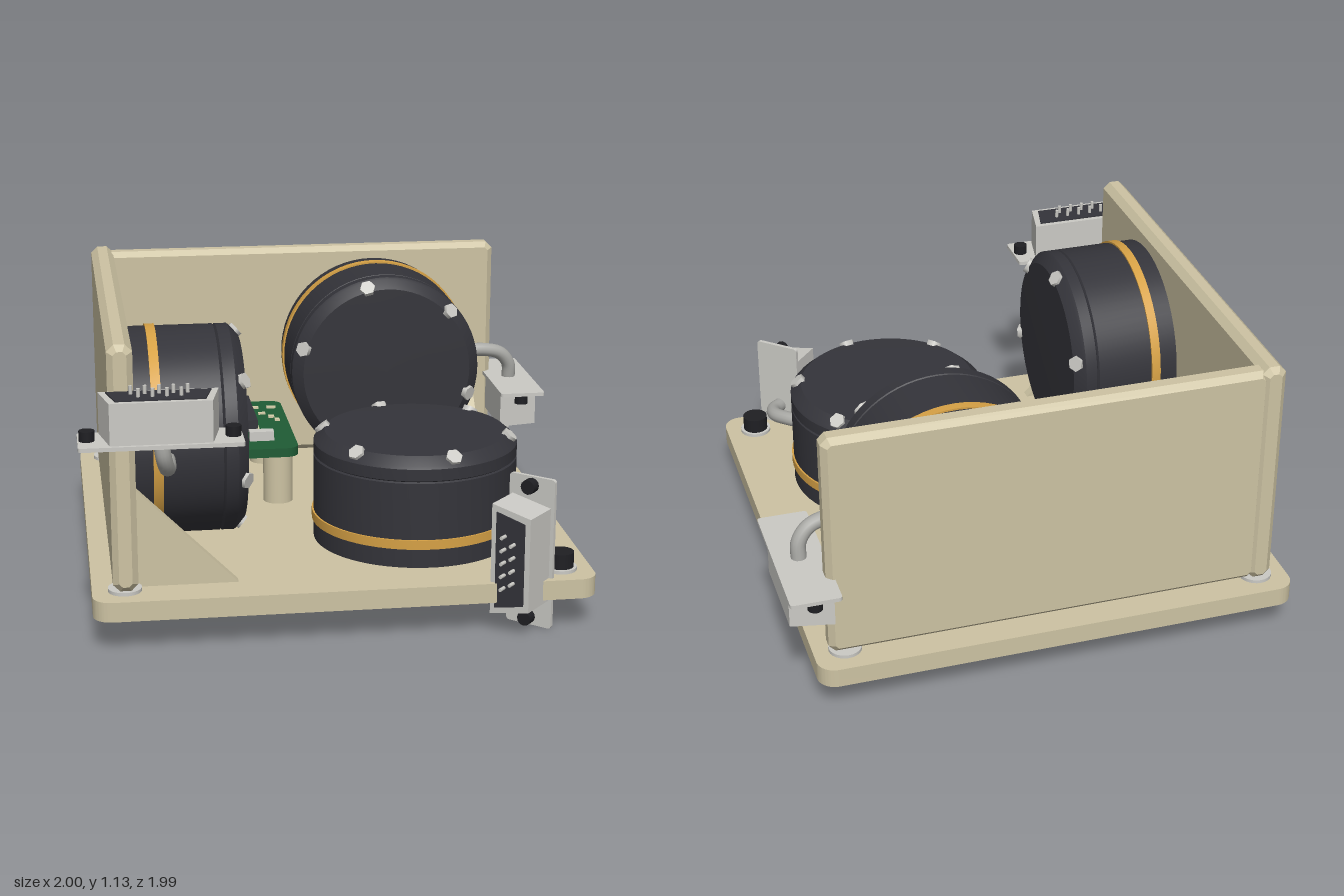
import * as THREE from 'three';
import { toCreasedNormals } from 'three/addons/utils/BufferGeometryUtils.js';

const mat = (name, color) => Object.assign(new THREE.MeshStandardMaterial({ color }), { name });
const tan = mat('tan frame', 0xcdc3a3);
const dark = mat('charcoal housing', 0x34343a);
const gold = mat('gold band', 0xd6a145);
const green = mat('green board', 0x1f5c35);
const silver = mat('silver metal', 0xcbcac5);
const cableGrey = mat('grey cable', 0xa9a9a5);
const black = mat('black screws', 0x1f1f23);
const cream = mat('cream pads', 0xd6cfaa);

function add(parent, name, geo, material, x = 0, y = 0, z = 0) {
  const m = new THREE.Mesh(geo, material);
  m.name = name;
  m.position.set(x, y, z);
  parent.add(m);
  return m;
}
const box = (w, h, d) => new THREE.BoxGeometry(w, h, d);
const cyl = (r, h, n = 24) => new THREE.CylinderGeometry(r, r, h, n);
const lathe = (pts) => toCreasedNormals(
  new THREE.LatheGeometry(pts.map(([r, y]) => new THREE.Vector2(r, y)), 64), 0.25);

function roundedRect(w, h, r) {
  const s = new THREE.Shape();
  [[1, -1, -90], [1, 1, 0], [-1, 1, 90], [-1, -1, 180]].forEach(([sx, sy, a]) =>
    s.absarc(sx * (w / 2 - r), sy * (h / 2 - r), r, a * Math.PI / 180, (a + 90) * Math.PI / 180));
  s.closePath();
  return s;
}

// Box with all edges chamfered by c, centred on its origin
function chamferBox(w, h, d, c) {
  const s = new THREE.Shape();
  const x = w / 2 - c, y = h / 2 - c, k = c * 0.6;
  s.moveTo(-x + k, -y).lineTo(x - k, -y).lineTo(x, -y + k).lineTo(x, y - k);
  s.lineTo(x - k, y).lineTo(-x + k, y).lineTo(-x, y - k).lineTo(-x, -y + k).closePath();
  const g = new THREE.ExtrudeGeometry(s, {
    depth: d - 2 * c, bevelEnabled: true, bevelSize: c, bevelThickness: c, bevelSegments: 1 });
  return toCreasedNormals(g.translate(0, 0, c - d / 2), 0.2);
}

// Sensor drum: axis +y, cable leaves along +x, connector faces +z
function sensor(name, screwAngle) {
  const g = new THREE.Group();
  g.name = name;
  add(g, 'drumHousing', lathe([[0, 0], [0.393, 0], [0.393, 0.33], [0.386, 0.335], [0.393, 0.34],
    [0.393, 0.385], [0.385, 0.395], [0.35, 0.425], [0, 0.432]]), dark);
  add(g, 'drumBand', lathe([[0.39, 0.074], [0.4, 0.074], [0.4, 0.11], [0.39, 0.11]]), gold);

  // Six screws around the sloped rim
  for (let i = 0; i < 6; i++) {
    const pivot = new THREE.Group();
    pivot.name = 'rimScrew';
    pivot.rotation.y = -(screwAngle + i * 60) * Math.PI / 180;
    const s = add(pivot, 'rimScrewHead', cyl(0.032, 0.026, 6), silver, 0.362, 0.414, 0);
    s.rotation.z = -0.7;
    g.add(pivot);
  }

  // Cable bending from the drum to the back of the connector
  const path = new THREE.CatmullRomCurve3([[0.37, 0.125, 0], [0.48, 0.122, 0], [0.55, 0.112, 0.02],
    [0.59, 0.1, 0.07], [0.595, 0.09, 0.14]].map((p) => new THREE.Vector3(...p)));
  add(g, 'cable', new THREE.TubeGeometry(path, 24, 0.029, 14), cableGrey);

  // Connector
  const c = new THREE.Group();
  c.name = 'connector';
  c.position.set(0.595, 0.09, 0);
  g.add(c);
  const slab = (shape, depth) => new THREE.ExtrudeGeometry(shape, { depth, bevelEnabled: false, curveSegments: 5 });
  const trapezoid = (x, wide, narrow) => new THREE.Shape([[-x, -wide], [x, -narrow], [x, narrow], [-x, wide]]
    .map((p) => new THREE.Vector2(...p)));
  add(c, 'connectorFlange', slab(roundedRect(0.188, 0.58, 0.012), 0.015), silver, 0, 0, 0.13);
  add(c, 'connectorShell', slab(trapezoid(0.08, 0.213, 0.18), 0.152), silver, 0, 0, 0.145);
  add(c, 'connectorFace', slab(trapezoid(0.059, 0.186, 0.158), 0.006), dark, 0, 0, 0.296);
  [[5, -0.02], [4, 0.018]].forEach(([n, x]) => {
    for (let i = 0; i < n; i++) {
      add(c, 'pin', cyl(0.007, 0.035, 8), silver, x, (i - (n - 1) / 2) * 0.05, 0.315).rotation.x = Math.PI / 2;
    }
  });
  for (const s of [-1, 1]) {
    add(c, 'connectorScrew', cyl(0.028, 0.038, 12), black, 0, s * 0.257, 0.163).rotation.x = Math.PI / 2;
  }
  return g;
}

export function createModel() {
  const model = new THREE.Group();
  model.name = 'sensorUnit';

  // Base plate with four corner holes
  const corners = [[-0.85, -0.85], [0.77, -0.85], [0.77, 0.77], [-0.85, 0.77]];
  const plate = roundedRect(1.86, 1.86, 0.07);
  corners.forEach(([x, z]) => plate.holes.push(new THREE.Path().absarc(x + 0.04, -z - 0.04, 0.045, 0, Math.PI * 2, true)));
  const plateGeo = new THREE.ExtrudeGeometry(plate, { depth: 0.075, bevelEnabled: false, curveSegments: 16 });
  add(model, 'basePlate', toCreasedNormals(plateGeo.rotateX(-Math.PI / 2), 0.5), tan, -0.04, 0.13, -0.04);
  corners.forEach(([x, z]) => {
    add(model, 'washer', cyl(0.062, 0.014), silver, x, 0.211, z);
    add(model, 'screwShank', cyl(0.044, 0.076), silver, x, 0.17, z);
  });
  add(model, 'capScrew', cyl(0.05, 0.06), black, 0.77, 0.246, 0.77);

  // Two upright walls
  add(model, 'leftWall', chamferBox(0.092, 0.92, 1.735, 0.022), tan, -0.848, 0.677, -0.035);
  add(model, 'backWall', chamferBox(1.67, 0.905, 0.088, 0.022), tan, 0, 0.67, -0.848);

  // Triangular braces
  const tri = new THREE.Shape([[0, 0], [0.38, 0], [0, 0.38]].map((p) => new THREE.Vector2(...p)));
  const brace = new THREE.ExtrudeGeometry(tri, { depth: 0.04, bevelEnabled: false });
  add(model, 'leftBrace', brace, tan, -0.81, 0.203, 0.7);
  add(model, 'backBrace', brace, tan, 0.74, 0.203, -0.81).rotation.y = -Math.PI / 2;

  // Three sensors at right angles: base position, then radial, axis and facing directions
  const a = 42 * Math.PI / 180;
  [['floorSensor', 35, [0.3, 0.205, 0.3], [Math.cos(a), 0, Math.sin(a)], [0, 1, 0], [-Math.sin(a), 0, Math.cos(a)]],
    ['leftSensor', 43, [-0.805, 0.672, 0.3], [0, 0, 1], [1, 0, 0], [0, 1, 0]],
    ['backSensor', 17, [0.303, 0.676, -0.805], [1, 0, 0], [0, 0, 1], [0, -1, 0]],
  ].forEach(([name, angle, pos, ...axes]) => {
    const s = sensor(name, angle);
    s.quaternion.setFromRotationMatrix(new THREE.Matrix4().makeBasis(...axes.map((v) => new THREE.Vector3(...v))));
    s.position.set(...pos);
    model.add(s);
  });

  // Circuit board on posts
  const board = new THREE.ExtrudeGeometry(roundedRect(0.7, 0.7, 0.05), { depth: 0.037, bevelEnabled: false });
  add(model, 'circuitBoard', board.rotateX(-Math.PI / 2), green, -0.45, 0.41, -0.45);
  for (const x of [-0.72, -0.18]) {
    for (const z of [-0.72, -0.18]) add(model, 'boardPost', cyl(0.06, 0.21), tan, x, 0.306, z);
  }
  add(model, 'chipBase', box(0.39, 0.012, 0.39), cream, -0.43, 0.452, -0.54);
  add(model, 'chip', box(0.375, 0.045, 0.375), dark, -0.43, 0.473, -0.54);
  [[-0.545, -0.215, 0.1, 0.045], [-0.24, -0.235, 0.1, 0.045]].forEach(([x, z, w, d]) =>
    add(model, 'boardComponent', box(w, 0.04, d), silver, x, 0.466, z));
  add(model, 'smallChip', box(0.055, 0.03, 0.045), dark, -0.67, 0.461, -0.19);
  [[-0.755, -0.335, 0.035, 0.055], [-0.405, -0.23, 0.03, 0.015], [-0.755, -0.62, 0.025, 0.055],
    [-0.735, -0.75, 0.04, 0.015], [-0.77, -0.39, 0.05, 0.02], [-0.72, -0.415, 0.02, 0.035],
    [-0.76, -0.18, 0.04, 0.02], [-0.71, -0.21, 0.02, 0.03], [-0.22, -0.69, 0.03, 0.02],
    [-0.15, -0.69, 0.04, 0.015], [-0.2, -0.6, 0.03, 0.015], [-0.165, -0.55, 0.025, 0.02],
    [-0.145, -0.5, 0.02, 0.025]].forEach(([x, z, w, d]) =>
    add(model, 'boardPad', box(w, 0.009, d), cream, x, 0.451, z));

  return model;
}
